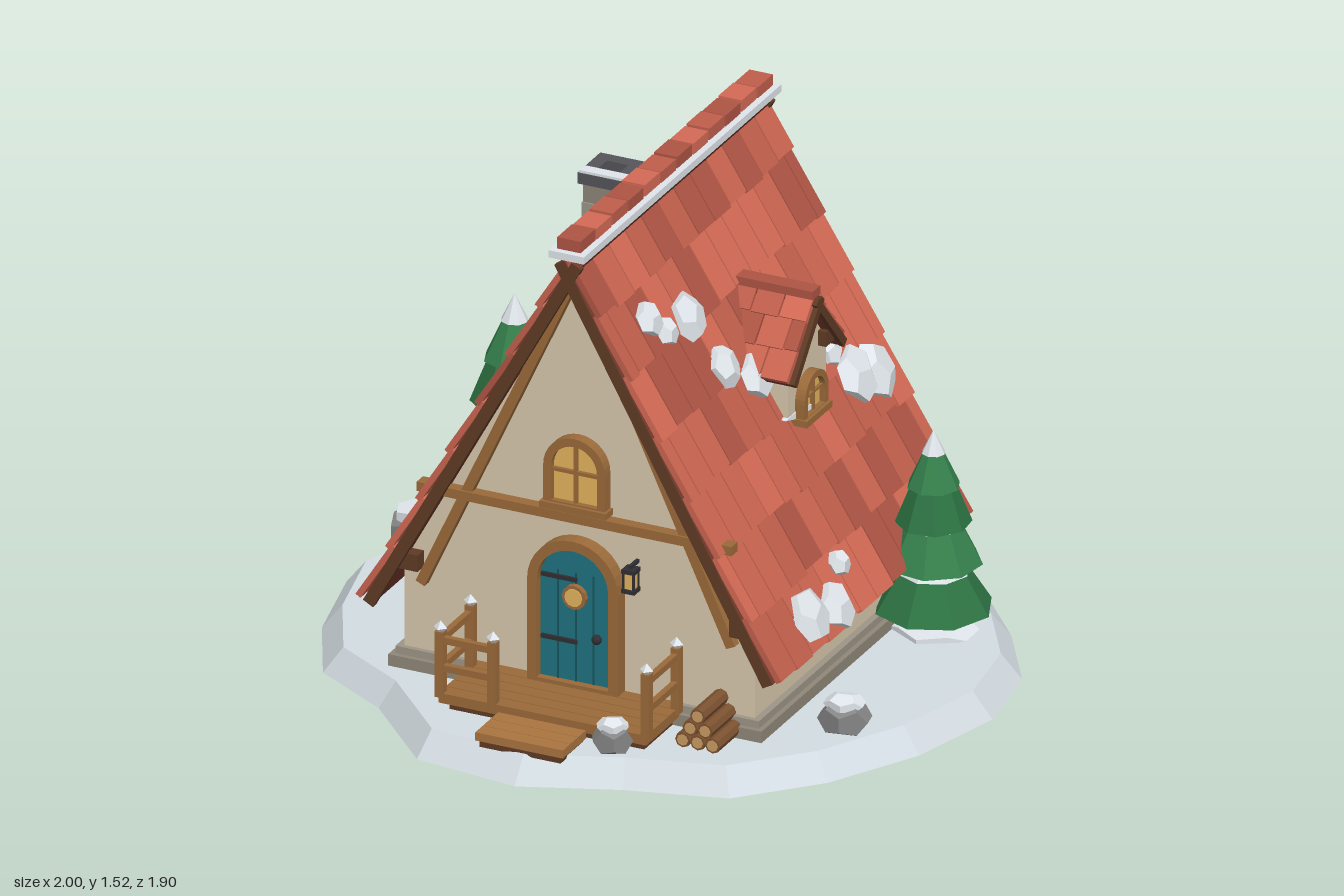
import * as THREE from 'three';

const mats = {};
const mat = (c) => (mats[c] ??= new THREE.MeshStandardMaterial({ color: c, flatShading: true }));
const WOOD = 0x9a6a3a, DARK = 0x5e3a24, SNOW = 0xdfe5ea, CREAM = 0xd8c8ac, STONE = 0x8f8778, ROCK = 0x858585;
const GLASS = 0xe3b25c, METAL = 0x2f2f33, UNDER = 0x75392c;
const TILES = [0xc05e4c, 0xd46a55, 0xae5444, 0xca6450];

// small seeded random
let seed = 7;
const rnd = () => (seed = (seed * 16807) % 2147483647) / 2147483647;

function add(parent, name, geo, color, x = 0, y = 0, z = 0) {
  const m = new THREE.Mesh(geo, mat(color));
  m.name = name;
  m.position.set(x, y, z);
  parent.add(m);
  return m;
}
const box = (p, name, c, w, h, d, x, y, z) => add(p, name, new THREE.BoxGeometry(w, h, d), c, x, y, z);
const cyl = (p, name, c, rt, rb, h, n, x, y, z) => add(p, name, new THREE.CylinderGeometry(rt, rb, h, n), c, x, y, z);
function group(parent, name, x = 0, y = 0, z = 0) {
  const g = new THREE.Group();
  g.name = name;
  g.position.set(x, y, z);
  parent.add(g);
  return g;
}
const polygon = (pts) => new THREE.Shape(pts.map(([x, y]) => new THREE.Vector2(x, y)));
const extrude = (shape, depth) => new THREE.ExtrudeGeometry(shape, { depth, bevelEnabled: false, curveSegments: 8 });

// round-topped outline standing on y0
function arch(w, h, y0 = 0) {
  const s = new THREE.Shape();
  s.moveTo(-w / 2, y0).lineTo(w / 2, y0).lineTo(w / 2, h - w / 2);
  s.absarc(0, h - w / 2, w / 2, 0, Math.PI, false);
  s.closePath();
  return s;
}
function archFrame(g, w, h, t, depth, panelName, panelColor) {
  const frame = arch(w, h);
  frame.holes.push(arch(w - 2 * t, h - t, t * 0.6));
  add(g, 'archFrame', extrude(frame, depth), WOOD);
  add(g, panelName, extrude(arch(w - 2 * t, h - t), depth * 0.5), panelColor);
}
function archWindow(parent, name, w, h, x, y, z, turn = 0) {
  const g = group(parent, name, x, y, z);
  g.rotation.y = turn;
  archFrame(g, w, h, w * 0.13, 0.035, 'glass', GLASS);
  box(g, 'mullion', WOOD, w * 0.06, h * 0.9, 0.012, 0, h * 0.48, 0.022);
  box(g, 'glazingBar', WOOD, w * 0.85, h * 0.05, 0.012, 0, h * 0.5, 0.022);
  box(g, 'sill', WOOD, w * 1.08, 0.02, 0.05, 0, 0, 0.02);
}

// a slab with staggered tiles; local +x runs down the slope, +y points outwards
function tiledSlope(g, len, depth, rows, cols, thick) {
  box(g, 'roofSlab', UNDER, len, thick, depth, len / 2, -0.012 - thick / 2, 0);
  const rl = len / rows, cw = depth / cols;
  for (let r = 0; r < rows; r++) {
    const odd = r % 2;
    for (let c = 0; c < cols + odd; c++) {
      const a = Math.max(0, (c - odd / 2) * cw), b = Math.min(depth, (c + 1 - odd / 2) * cw);
      const l = rl * (1.02 + rnd() * 0.08);
      const t = box(g, 'roofTile', TILES[Math.floor(rnd() * 4)], l, 0.018, b - a - 0.005,
        r * rl + l / 2 - rl * 0.06, 0, (a + b) / 2 - depth / 2);
      t.rotation.z = 0.06;
    }
  }
}

function rock(parent, x, z, rx, h, rz) {
  const g = group(parent, 'rock', x, 0.07, z);
  g.rotation.y = rnd() * 3;
  add(g, 'stone', new THREE.DodecahedronGeometry(1), ROCK, 0, h * 0.4, 0).scale.set(rx, h * 0.55, rz);
  add(g, 'snowCap', new THREE.DodecahedronGeometry(1), SNOW, 0, h * 0.8, 0).scale.set(rx * 0.78, h * 0.24, rz * 0.78);
}

function tree(parent, x, z, s) {
  const g = group(parent, 'pineTree', x, 0.075, z);
  g.scale.setScalar(s);
  cyl(g, 'trunk', DARK, 0.025, 0.03, 0.12, 7, 0, 0.06, 0);
  add(g, 'snowMound', new THREE.DodecahedronGeometry(1), SNOW, 0, 0.005, 0).scale.set(0.13, 0.02, 0.12);
  const bottoms = [0.07, 0.21, 0.33, 0.44], radii = [0.17, 0.14, 0.108, 0.076];
  bottoms.forEach((y, i) => {
    const r = radii[i], h = i < 3 ? 0.17 : 0.165, top = i < 3 ? r * 0.38 : 0;
    const tier = cyl(g, 'foliageTier', i % 2 ? 0x35804c : 0x2d7343, top, r, h, 8, 0, y + h / 2, 0);
    tier.rotation.y = i * 0.25;
    if (i < 3) cyl(g, 'snowRing', SNOW, r * 0.5, r * 0.61, 0.03, 8, 0, y + h * 0.74, 0).rotation.y = i * 0.25;
  });
  cyl(g, 'snowTip', SNOW, 0, 0.034, 0.07, 8, 0, 0.575, 0);
}

function railing(parent, x1, z1, x2, z2) {
  const g = group(parent, 'railing');
  for (const [x, z] of [[x1, z1], [x2, z2]]) {
    box(g, 'post', WOOD, 0.026, 0.2, 0.026, x, 0.22, z);
    add(g, 'postCap', new THREE.OctahedronGeometry(0.021), SNOW, x, 0.33, z);
  }
  const len = Math.hypot(x2 - x1, z2 - z1);
  for (const y of [0.21, 0.295]) {
    box(g, 'rail', WOOD, len, 0.02, 0.018, (x1 + x2) / 2, y, (z1 + z2) / 2).rotation.y = Math.atan2(z1 - z2, x2 - x1);
  }
}

export function createModel() {
  const model = new THREE.Group();
  model.name = 'snowyCabin';

  // snowy ground disc, narrowing upwards
  const outline = [[0, -0.95], [0.57, -0.81], [0.81, -0.53], [0.96, -0.29], [1, -0.02], [0.92, 0.28], [0.77, 0.55],
    [0.57, 0.76], [0.28, 0.84], [0, 0.95], [-0.32, 0.91], [-0.56, 0.66], [-0.8, 0.52], [-0.93, 0.26], [-1, -0.04],
    [-0.91, -0.32], [-0.77, -0.56], [-0.59, -0.81], [-0.31, -0.9]];
  const disc = extrude(polygon(outline.map(([x, z]) => [x, -z])), 0.075).rotateX(-Math.PI / 2);
  const p = disc.attributes.position;
  for (let i = 0; i < p.count; i++) if (p.getY(i) > 0.04) p.setXYZ(i, p.getX(i) * 0.94, p.getY(i), p.getZ(i) * 0.94);
  disc.computeVertexNormals();
  add(model, 'snowGround', disc, 0xd3dce2);

  // house body
  const house = group(model, 'house', -0.013, 0, -0.028);
  box(house, 'foundation', STONE, 1.15, 0.04, 1.14, 0, 0.09, 0);
  box(house, 'foundationStep', 0x9d9586, 1.12, 0.025, 1.11, 0, 0.12, 0);
  add(house, 'walls', extrude(polygon([[-0.54, 0.12], [0.54, 0.12], [0.54, 0.39], [0, 1.375], [-0.54, 0.39]]), 1.08), CREAM, 0, 0, -0.54);

  // main roof: two tiled slopes with snow patches [down the slope, z, radius]
  const ANG = 1.067, LEN = 1.33;
  const patches = {
    1: [[0.28, 0.38, 0.055], [0.34, 0.33, 0.045], [0.35, 0.2, 0.075], [0.53, 0.15, 0.065], [0.61, 0.03, 0.07], [0.7, -0.35, 0.045],
      [0.8, -0.42, 0.09], [0.83, -0.51, 0.09], [1.24, 0.31, 0.085], [1.27, 0.17, 0.075], [1.18, 0.07, 0.04]],
    [-1]: [[1.13, -0.32, 0.06], [0.72, -0.065, 0.075], [0.74, -0.19, 0.05], [0.36, 0.015, 0.075], [0.29, 0.16, 0.06],
      [1.0, 0.15, 0.06], [0.88, 0.27, 0.045], [1.07, 0.22, 0.04], [1.05, 0.31, 0.03]],
  };
  for (const s of [1, -1]) {
    const side = group(house, s > 0 ? 'leftRoof' : 'rightRoof', 0, 1.455, 0);
    side.rotation.y = s > 0 ? 0 : Math.PI;
    const slope = group(side, 'slope');
    slope.rotation.z = -ANG;
    tiledSlope(slope, LEN, 1.225, 7, 12, 0.028);
    for (const e of [1, -1]) box(slope, 'bargeBoard', DARK, LEN, 0.035, 0.02, LEN / 2, -0.03, e * 0.605);
    for (const [u, z, r] of patches[s]) {
      const m = add(slope, 'roofSnow', new THREE.DodecahedronGeometry(1), SNOW, u, 0.015, s * (z + 0.028));
      m.scale.set(r, 0.032, r);
      m.rotation.y = rnd() * 3;
    }
  }
  // ridge
  box(house, 'ridgeSnow', SNOW, 0.11, 0.022, 1.25, 0, 1.468, 0);
  box(house, 'ridgeBeam', DARK, 0.05, 0.05, 1.2, 0, 1.43, 0);
  for (let i = 0; i < 12; i++) {
    box(house, 'ridgeTile', TILES[i % 3], 0.072, 0.035, 0.093, 0, 1.495 + (i % 2) * 0.003, -0.561 + i * 0.102);
  }

  // front timbers
  for (const s of [1, -1]) {
    box(house, 'slantedTimber', WOOD, 0.03, 1.12, 0.035, s * 0.245, 0.855, 0.55).rotation.z = s * 0.43;
    box(house, 'rafterEnd', DARK, 0.06, 0.05, 0.06, s * 0.51, 0.41, 0.55);
  }
  box(house, 'crossBeam', WOOD, 0.97, 0.028, 0.04, 0, 0.645, 0.555);

  // windows
  archWindow(house, 'upperWindow', 0.19, 0.215, 0, 0.675, 0.54);
  archWindow(house, 'backWindow', 0.19, 0.24, 0, 0.33, -0.54, Math.PI);

  // door
  const door = group(house, 'door', 0, 0.125, 0.54);
  archFrame(door, 0.28, 0.455, 0.03, 0.045, 'doorPanel', 0x1f7380);
  for (const x of [-0.055, 0, 0.055]) box(door, 'plankGroove', 0x17545e, 0.005, 0.34, 0.006, x, 0.18, 0.022);
  for (const y of [0.14, 0.33]) box(door, 'hinge', METAL, 0.11, 0.012, 0.01, -0.05, y, 0.026);
  cyl(door, 'portholeFrame', WOOD, 0.037, 0.037, 0.024, 12, 0, 0.28, 0.026).rotation.x = Math.PI / 2;
  cyl(door, 'portholeGlass', GLASS, 0.027, 0.027, 0.03, 12, 0, 0.28, 0.026).rotation.x = Math.PI / 2;
  add(door, 'knob', new THREE.IcosahedronGeometry(0.015, 1), METAL, 0.07, 0.165, 0.036);

  // lantern by the door
  const lantern = group(house, 'lantern', 0.18, 0.5, 0.585);
  box(lantern, 'lanternGlass', GLASS, 0.028, 0.05, 0.028, 0, 0, 0);
  for (const y of [-0.03, 0.03]) box(lantern, 'lanternCap', METAL, 0.04, 0.012, 0.04, 0, y, 0);
  for (const x of [-1, 1]) for (const z of [-1, 1]) box(lantern, 'lanternBar', METAL, 0.006, 0.06, 0.006, x * 0.015, 0, z * 0.015);
  box(lantern, 'lanternArm', METAL, 0.01, 0.01, 0.06, 0, 0.041, -0.025);

  // chimney of stone courses
  const chimney = group(house, 'chimney', -0.282, 0, -0.247);
  for (let i = 0; i < 9; i++) {
    const w = 0.122 + (i % 2) * 0.006;
    box(chimney, 'stoneCourse', i % 2 ? 0x9b9488 : 0x8b8479, w, 0.06, w, 0, 0.765 + i * 0.061, 0);
  }
  for (const s of [-1, 1]) {
    box(chimney, 'chimneyCap', 0x55555a, 0.146, 0.033, 0.04, 0, 1.298, s * 0.053);
    box(chimney, 'chimneyCap', 0x55555a, 0.04, 0.033, 0.07, s * 0.053, 1.298, 0);
  }
  box(chimney, 'chimneySnow', SNOW, 0.14, 0.012, 0.035, 0, 1.316, 0.052);

  // dormer on the left roof, local +z faces outwards
  const dormer = group(house, 'dormer', 0, 0, -0.097);
  dormer.rotation.y = Math.PI / 2;
  add(dormer, 'dormerWalls', extrude(polygon([[-0.12, 0.8], [0.12, 0.8], [0.12, 0.96], [0, 1.1], [-0.12, 0.96]]), 0.29), CREAM, 0, 0, 0.1);
  for (const s of [1, -1]) {
    const side = group(dormer, 'dormerRoof', 0, 1.135, 0.29);
    side.rotation.y = s > 0 ? 0 : Math.PI;
    const slope = group(side, 'slope');
    slope.rotation.z = -0.85;
    tiledSlope(slope, 0.265, 0.26, 3, 3, 0.02);
    box(slope, 'dormerBarge', DARK, 0.265, 0.025, 0.015, 0.1325, -0.022, s * 0.135);
    box(dormer, 'dormerBracket', DARK, 0.05, 0.045, 0.04, s * 0.095, 0.965, 0.395);
  }
  box(dormer, 'dormerRidge', TILES[2], 0.05, 0.025, 0.26, 0, 1.14, 0.29);
  archWindow(dormer, 'dormerWindow', 0.15, 0.13, 0, 0.77, 0.385);
  add(dormer, 'dormerSnow', new THREE.DodecahedronGeometry(1), SNOW, 0, 0.79, 0.37).scale.set(0.13, 0.02, 0.04);

  // porch deck, steps and railings
  const porch = group(model, 'porch');
  for (let i = 0; i < 5; i++) box(porch, 'deckBoard', WOOD, 0.64, 0.03, 0.045, -0.012, 0.118, 0.535 + i * 0.048);
  box(porch, 'deckBase', DARK, 0.6, 0.04, 0.2, -0.012, 0.09, 0.62);
  for (let i = 0; i < 3; i++) box(porch, 'stepBoard', 0xa9743f, 0.27, 0.025, 0.047, -0.012, 0.1, 0.775 + i * 0.049);
  box(porch, 'stepBase', DARK, 0.25, 0.025, 0.14, -0.012, 0.08, 0.82);
  for (const x of [-0.33, 0.305]) railing(porch, x, 0.74, x, 0.55);
  railing(porch, -0.33, 0.74, -0.168, 0.74);

  // firewood pile
  const pile = group(model, 'firewood', 0.425, 0.1, 0.59);
  for (let r = 0; r < 3; r++) for (let i = 0; i < 3 - r; i++) {
    const x = (i - (2 - r) / 2) * 0.046, y = r * 0.04;
    cyl(pile, 'log', 0x7d5230, 0.023, 0.023, 0.15, 8, x, y, 0).rotation.x = Math.PI / 2;
    cyl(pile, 'logEnd', 0xc99a62, 0.017, 0.017, 0.154, 8, x, y, 0).rotation.x = Math.PI / 2;
  }

  // trees, rocks and a snow drift
  tree(model, -0.675, -0.435, 1.16);
  tree(model, 0.665, -0.335, 1);
  rock(model, -0.85, -0.18, 0.09, 0.14, 0.085);
  rock(model, 0.21, 0.76, 0.06, 0.1, 0.055);
  rock(model, 0.73, 0.36, 0.078, 0.11, 0.07);
  rock(model, 0.04, -0.85, 0.105, 0.16, 0.085);
  rock(model, -0.1, -0.85, 0.055, 0.08, 0.05);
  add(model, 'snowDrift', new THREE.DodecahedronGeometry(1), SNOW, 0.3, 0.078, -0.71).scale.set(0.065, 0.02, 0.055);
  return model;
}
